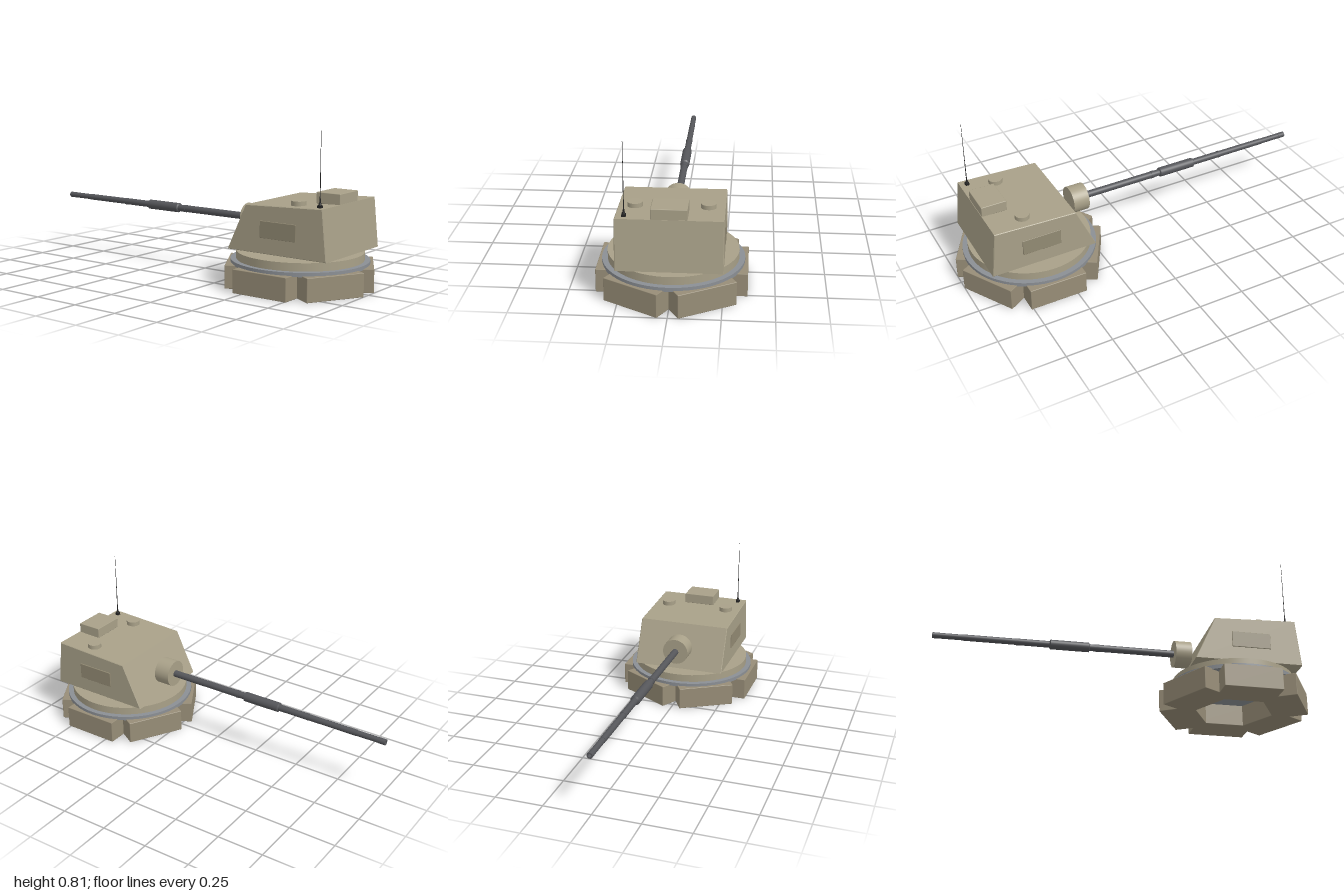
import * as THREE from 'three';
import { RoundedBoxGeometry } from 'three/addons/geometries/RoundedBoxGeometry.js';

const CENTER_Z = 0.606; // turning axis of the turret
const BARREL_Y = 0.317;

const paint = (color) => new THREE.MeshStandardMaterial({ color });
const hull = paint(0xa8a088);
const base = paint(0x978d77);
const panel = paint(0x928a73);
const steel = paint(0x8b8f94);
const gunmetal = paint(0x55565a);
const black = paint(0x222222);

export function createModel() {
  const model = new THREE.Group();

  const add = (name, geometry, material, x, y, z, parent = model) => {
    const mesh = new THREE.Mesh(geometry, material);
    mesh.name = name;
    mesh.position.set(x, y, z);
    parent.add(mesh);
    return mesh;
  };
  const box = (w, h, d, bevel = 0.003) => new RoundedBoxGeometry(w, h, d, 1, bevel);
  const disc = (r, h, sides = 64) => new THREE.CylinderGeometry(r, r, h, sides);

  // Six overlapping blocks leave a hexagonal well in the middle
  const foundation = new THREE.Group();
  foundation.name = 'foundation';
  foundation.position.z = CENTER_Z;
  model.add(foundation);
  for (let i = 0; i < 6; i++) {
    const a = (i * Math.PI) / 3;
    const r = 0.274;
    const block = add('foundationBlock', box(0.188, 0.12, 0.31), base,
      Math.cos(a) * r, 0.063, -Math.sin(a) * r, foundation);
    block.rotation.y = a;
  }

  // Bearing ring and turntable
  add('bearingRing', disc(0.352, 0.021), steel, 0, 0.1285, CENTER_Z);
  add('turntable', disc(0.324, 0.042), hull, 0, 0.159, CENTER_Z);

  // Turret body: side outline in (z, y), extruded across x
  const b = 0.003;
  const outline = new THREE.Shape([
    [0.907, 0.196], [0.341, 0.196], [0.449, 0.426], [0.882, 0.443],
  ].map(([z, y]) => new THREE.Vector2(z, y)));
  const width = 0.504;
  const body = new THREE.ExtrudeGeometry(outline, {
    depth: width, bevelEnabled: true, bevelSize: b, bevelThickness: b, bevelSegments: 1,
  });
  body.translate(0, 0, -width / 2);
  body.rotateY(-Math.PI / 2);
  add('turretBody', body, hull, 0, 0, 0);

  // Roof box
  add('roofBox', box(0.172, 0.056, 0.135), hull, 0, 0.47, 0.815);

  // Hatches and side panels
  for (const side of [-1, 1]) {
    add('hatch', disc(0.037, 0.03, 32), hull, side * 0.175, 0.447, 0.705);
    add('sidePanel', box(0.02, 0.085, 0.208, 0.002), panel, side * 0.25, 0.315, 0.639);
  }

  // Mantlet
  add('mantlet', disc(0.072, 0.088, 48).rotateX(Math.PI / 2), hull, 0, BARREL_Y, 0.325);

  // Gun barrel: [radius, z] profile turned around its length
  const profile = [
    [0, 0.30], [0.0185, 0.30], [0.0185, -0.125], [0.02, -0.125], [0.02, -0.14],
    [0.018, -0.14], [0.018, -0.175], [0.0255, -0.18], [0.0255, -0.385], [0.0175, -0.39],
    [0.0175, -0.555], [0.0185, -0.555], [0.0185, -0.565], [0.0165, -0.565],
    [0.0165, -0.84], [0.015, -0.84], [0.015, -0.96], [0.0155, -0.96],
    [0.0155, -1], [0.009, -1], [0.009, -0.97], [0, -0.97],
  ];
  // Doubled points keep the steps crisp
  const points = profile.flatMap(([r, z]) => [new THREE.Vector2(r, -z), new THREE.Vector2(r, -z)]);
  const barrel = new THREE.LatheGeometry(points, 32).rotateX(-Math.PI / 2);
  add('gunBarrel', barrel, gunmetal, 0, BARREL_Y, 0);

  // Whip aerial
  const aerial = new THREE.Group();
  aerial.name = 'aerial';
  aerial.position.set(-0.212, 0.443, 0.847);
  model.add(aerial);
  add('aerialFoot', new THREE.BoxGeometry(0.02, 0.014, 0.02), black, 0, 0.007, 0, aerial);
  add('aerialMount', new THREE.CylinderGeometry(0.005, 0.009, 0.014, 12), black, 0, 0.02, 0, aerial);
  add('aerialSpring', new THREE.CylinderGeometry(0.003, 0.004, 0.022, 12), black, 0, 0.037, 0, aerial);
  add('aerialRod', new THREE.CylinderGeometry(0.0008, 0.0022, 0.32, 8), black, 0, 0.206, 0, aerial);
  add('aerialTip', new THREE.SphereGeometry(0.0016, 8, 6), black, 0, 0.366, 0, aerial);

  return model;
}
